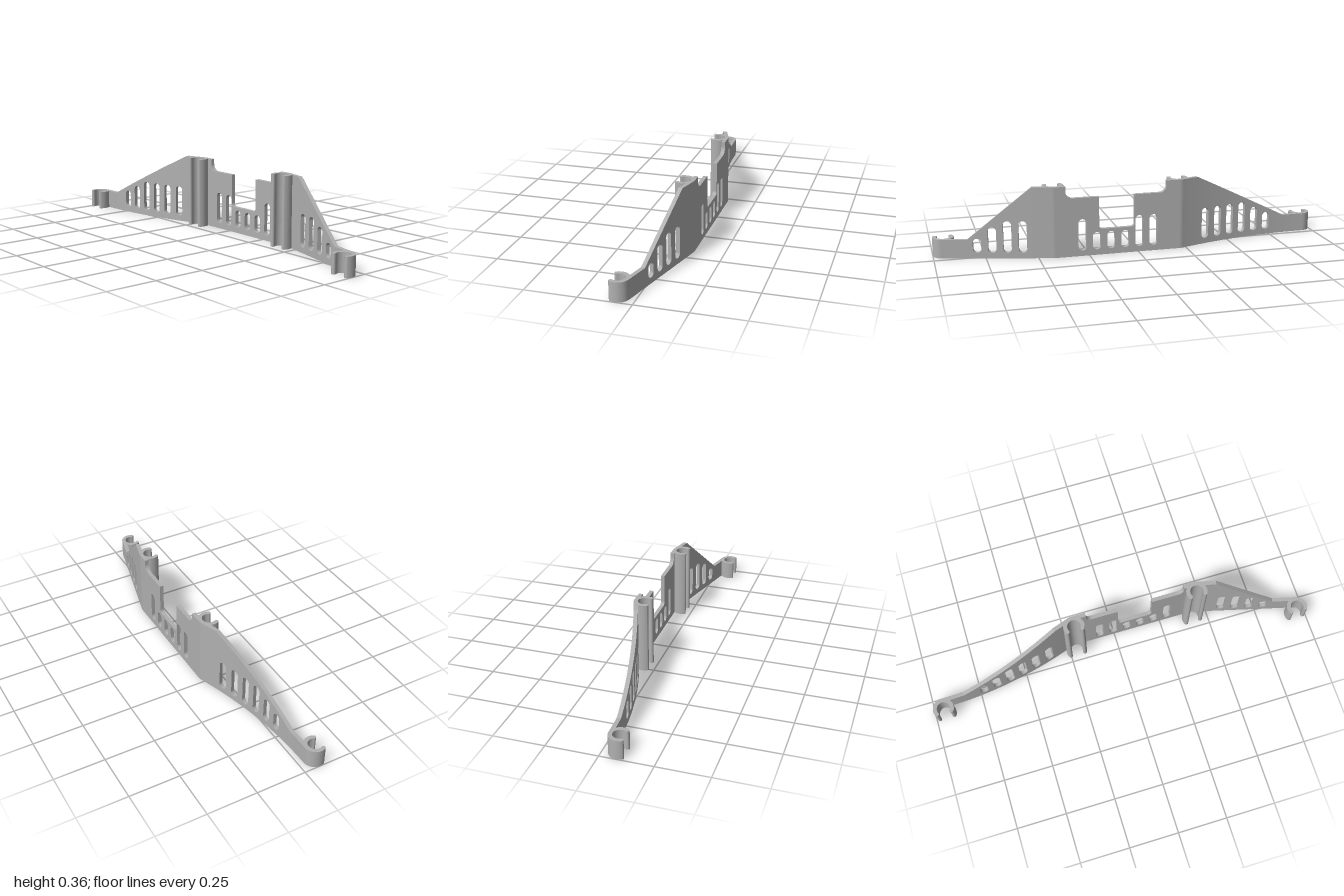
import * as THREE from 'three';

const T = 0.02;          // sheet thickness
const LOW = 0.0945, HIGH = 0.356;
const R = 0.043;         // clip radius at mid thickness

// Plan curve of the wall: x of its centre line for a given z
function planX(z) {
  if (z > 0.431) return 0.0966 - 0.256 * (z - 0.431);
  if (z > 0.42) return 0.055 + Math.sqrt(R * R - (z - 0.42) ** 2);
  if (z > -0.214) return 0.055 + R;
  if (z > -0.229) return 0.055 + Math.sqrt(R * R - (z + 0.214) ** 2);
  return -0.037 + 0.2565 * (z + 0.947) ** 2;
}

// Frame of the wall at z: tangent (tx, tz); the inward normal is (-tz, tx)
function frame(z) {
  const d = (planX(z + 0.001) - planX(z - 0.001)) / 0.002;
  const l = Math.hypot(d, 1);
  return { tx: d / l, tz: 1 / l };
}

function fillet(cz, cy, r, a0, a1) {
  return Array.from({ length: 7 }, (_, i) => {
    const a = (a0 + (a1 - a0) * i / 6) * Math.PI / 180;
    return [cz + r * Math.cos(a), cy + r * Math.sin(a)];
  });
}

// Top edge of the wall as (z, y), from back to front
const TOP = [
  [-0.947, LOW], [-0.832, LOW], [-0.315, HIGH], [-0.144, HIGH],
  ...fillet(-0.109, 0.331, 0.035, 180, 270),
  [0.02, 0.296], ...fillet(0.038, 0.15, 0.018, 180, 270),
  ...fillet(0.182, 0.15, 0.018, 270, 360), [0.2, 0.296],
  ...fillet(0.331, 0.331, 0.035, 270, 360), [0.366, HIGH],
  [0.527, HIGH], [0.835, LOW], [0.97, LOW],
];

function topY(z) {
  const i = TOP.findIndex((p, k) => k < TOP.length - 1 && p[0] <= z && z < TOP[k + 1][0]);
  const [a, b] = [TOP[i], TOP[i + 1]];
  return a[1] + (b[1] - a[1]) * (z - a[0]) / (b[0] - a[0]);
}

// Vent slots: centre z and top y
const SLOTS = [
  [-0.728, 0.12], [-0.656, 0.155], [-0.583, 0.188], [-0.511, 0.188], [-0.438, 0.188], [-0.363, 0.188],
  [-0.077, 0.188], [-0.004, 0.188], [0.068, 0.117], [0.14, 0.117], [0.213, 0.117], [0.285, 0.188],
  [0.572, 0.188], [0.645, 0.188], [0.717, 0.158], [0.789, 0.1],
];

function slotPath(c, top) {
  const r = 0.02, path = new THREE.Path();
  path.absarc(c, top - r, r, 0, Math.PI);
  path.absarc(c, 0.028 + r, r, Math.PI, 2 * Math.PI);
  path.closePath();
  return path;
}

// Wall: extruded bays bent along the plan curve and joined seamlessly
function wallGeometry() {
  const cuts = [-0.947, -0.229, -0.222, -0.214, 0.42, 0.4255, 0.431, 0.955];
  SLOTS.forEach(([c]) => cuts.push(c - 0.03, c + 0.03));
  for (let z = -0.92; z < -0.24; z += 0.03) {
    if (SLOTS.every(([c]) => Math.abs(z - c) > 0.032)) cuts.push(z);
  }
  cuts.sort((a, b) => a - b);
  const pos = [], nor = [];
  for (let i = 0; i < cuts.length - 1; i++) {
    const z0 = cuts[i], z1 = cuts[i + 1];
    if (z1 - z0 < 1e-5) continue;
    const edge = TOP.filter(p => p[0] > z0 + 1e-6 && p[0] < z1 - 1e-6);
    const outline = [[z0, 0], [z1, 0], [z1, topY(z1)], ...edge.reverse(), [z0, topY(z0)]];
    const shape = new THREE.Shape(outline.map(p => new THREE.Vector2(...p)));
    const slot = SLOTS.find(([c]) => c > z0 && c < z1);
    if (slot) shape.holes.push(slotPath(...slot));
    const geo = new THREE.ExtrudeGeometry(shape, { depth: T, bevelEnabled: false, curveSegments: 10 });
    const p = geo.attributes.position, n = geo.attributes.normal;
    for (let t = 0; t < p.count; t += 3) {
      // leave out the hidden faces between bays
      const at = z => [0, 1, 2].every(k => Math.abs(p.getX(t + k) - z) < 1e-6);
      if (at(z0) || at(z1)) continue;
      for (let k = t; k < t + 3; k++) {
        const z = p.getX(k), off = p.getZ(k) - T / 2, { tx, tz } = frame(z);
        pos.push(planX(z) - tz * off, p.getY(k), z + tx * off);
        nor.push(n.getX(k) * tx - n.getZ(k) * tz, n.getY(k), n.getX(k) * tz + n.getZ(k) * tx);
      }
    }
  }
  const g = new THREE.BufferGeometry();
  g.setAttribute('position', new THREE.Float32BufferAttribute(pos, 3));
  g.setAttribute('normal', new THREE.Float32BufferAttribute(nor, 3));
  return g;
}

// Clip: open ring with rounded tips, its mouth towards -x
function clipGeometry(height) {
  const a = 118 * Math.PI / 180, h = T / 2;
  const s = new THREE.Shape();
  s.absarc(0, 0, R + h, -a, a, false);
  s.absarc(R * Math.cos(a), R * Math.sin(a), h, a, a + Math.PI, false);
  s.absarc(0, 0, R - h, a, -a, true);
  s.absarc(R * Math.cos(a), -R * Math.sin(a), h, Math.PI - a, 2 * Math.PI - a, false);
  const g = new THREE.ExtrudeGeometry(s, { depth: height, bevelEnabled: false, curveSegments: 28 });
  return g.rotateX(-Math.PI / 2);
}

export function createModel() {
  const group = new THREE.Group();
  group.name = 'clipOnBracket';
  const grey = new THREE.MeshStandardMaterial({ color: 0xb0b0b0 });
  grey.name = 'grey plastic';
  const add = (name, geo, x = 0, z = 0) => {
    const mesh = new THREE.Mesh(geo, grey);
    mesh.name = name;
    mesh.position.set(x, 0, z);
    group.add(mesh);
  };
  add('slottedWall', wallGeometry());
  add('frontEndClip', clipGeometry(LOW), -0.08, 0.947);
  add('frontTallClip', clipGeometry(HIGH), 0.055, 0.42);
  add('backTallClip', clipGeometry(HIGH), 0.055, -0.214);
  add('backEndClip', clipGeometry(LOW), -0.08, -0.947);
  return group;
}
